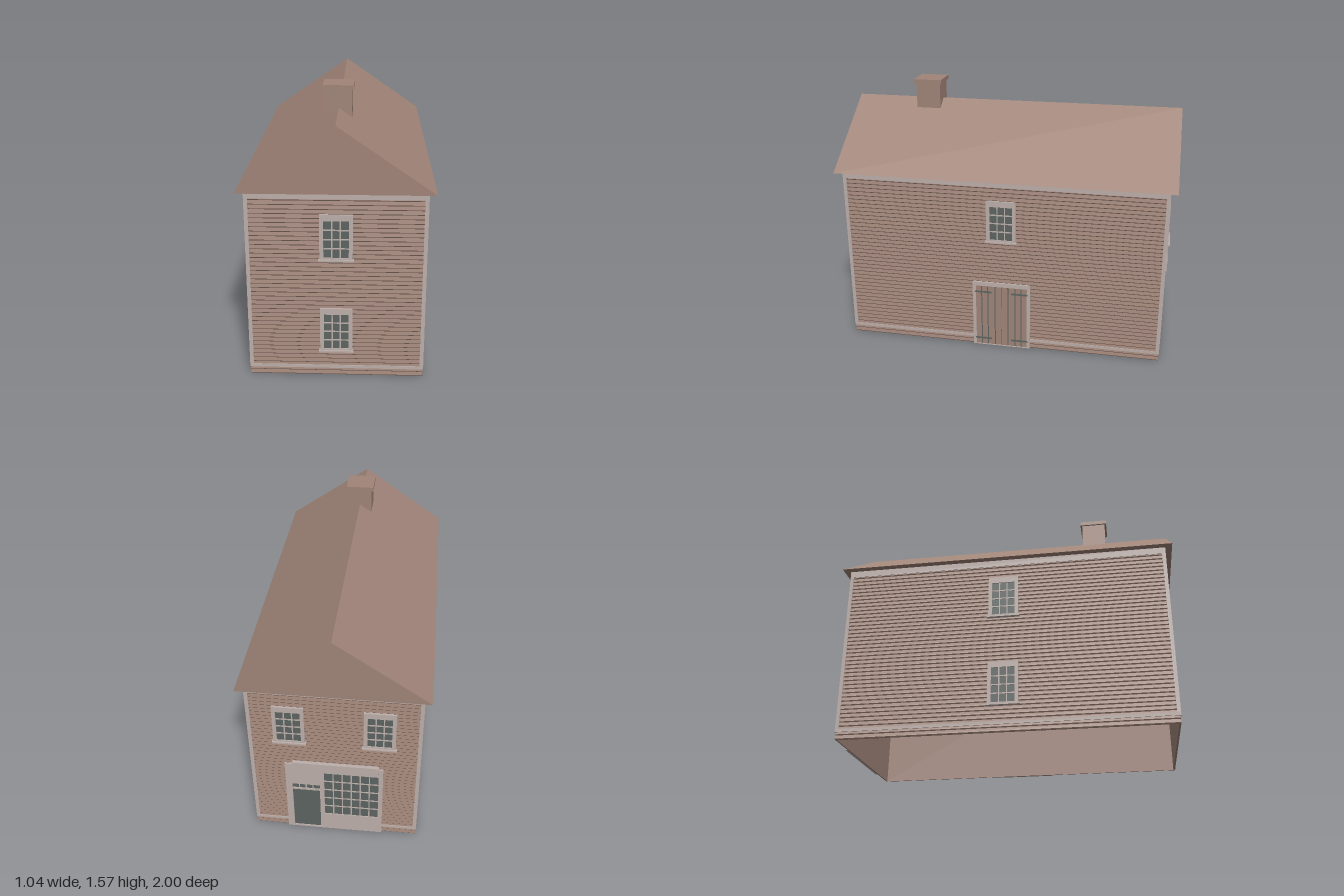
import * as THREE from 'three';

const brown = new THREE.MeshStandardMaterial({ color: 0xa08478, name: 'brown' });
const trim = new THREE.MeshStandardMaterial({ color: 0xbdafaa, name: 'paleTrim' });
const dark = new THREE.MeshStandardMaterial({ color: 0x5c6461, name: 'darkGlass' });

const EAVE = 1.08, HX = 0.474, HZ = 0.954;

function add(parent, name, geometry, material, x = 0, y = 0, z = 0) {
  const mesh = new THREE.Mesh(geometry, material);
  mesh.name = name;
  mesh.position.set(x, y, z);
  parent.add(mesh);
  return mesh;
}

// Box given by its limits
function box(parent, name, material, x0, x1, y0, y1, z0, z1) {
  return add(parent, name, new THREE.BoxGeometry(x1 - x0, y1 - y0, z1 - z0), material,
    (x0 + x1) / 2, (y0 + y1) / 2, (z0 + z1) / 2);
}

function rectPoints(P, x0, x1, y0, y1) {
  return new P().moveTo(x0, y0).lineTo(x1, y0).lineTo(x1, y1).lineTo(x0, y1).closePath();
}

// Rectangular board with rectangular holes, each [x0, x1, y0, y1]
function pierced(parent, name, material, outer, holes, depth) {
  const shape = rectPoints(THREE.Shape, ...outer);
  for (const h of holes) shape.holes.push(rectPoints(THREE.Path, ...h));
  return add(parent, name, new THREE.ExtrudeGeometry(shape, { depth, bevelEnabled: false }), material);
}

// Dark pane divided by glazing bars
function glazing(parent, x0, x1, y0, y1, cols, rows, bar = 0.007) {
  box(parent, 'glass', dark, x0, x1, y0, y1, 0, 0.008);
  for (let i = 1; i < cols; i++) {
    const x = x0 + (x1 - x0) * i / cols;
    box(parent, 'glazingBar', trim, x - bar / 2, x + bar / 2, y0, y1, 0.004, 0.011);
  }
  for (let j = 1; j < rows; j++) {
    const y = y0 + (y1 - y0) * j / rows;
    box(parent, 'glazingBar', trim, x0, x1, y - bar / 2, y + bar / 2, 0.004, 0.011);
  }
}

function sashWindow(wall, x, y) {
  const g = new THREE.Group();
  g.name = 'window';
  g.position.set(x, y, 0);
  pierced(g, 'windowCasing', trim, [-0.088, 0.088, 0, 0.257], [[-0.067, 0.067, 0.014, 0.222]], 0.014);
  glazing(g, -0.067, 0.067, 0.014, 0.222, 3, 4);
  box(g, 'windowSill', trim, -0.095, 0.095, -0.005, 0.005, 0, 0.024);
  wall.add(g);
}

// Horizontal clapboards: rectangular rings lofted from the inner shell round to the outside
function wallGeometry() {
  const rings = [[-0.008, EAVE], [-0.008, 0], [0, 0]];
  const rows = 43, step = EAVE / rows;
  for (let i = 0; i < rows; i++) {
    rings.push([0.004, i * step + 0.006], [0, (i + 1) * step]);
  }
  const signs = [[-1, 1], [1, 1], [1, -1], [-1, -1]];
  const corner = ([o, y], k) => {
    const [sx, sz] = signs[k % 4];
    return [sx * (HX + o), y, sz * (HZ + o)];
  };
  const pos = [];
  for (let i = 0; i + 1 < rings.length; i++) {
    for (let k = 0; k < 4; k++) {
      const a = corner(rings[i], k), b = corner(rings[i], k + 1);
      const c = corner(rings[i + 1], k + 1), d = corner(rings[i + 1], k);
      pos.push(...a, ...b, ...c, ...a, ...c, ...d);
    }
  }
  const g = new THREE.BufferGeometry();
  g.setAttribute('position', new THREE.Float32BufferAttribute(pos, 3));
  g.computeVertexNormals();
  return g;
}

// Double plank door with strap hinges
function plankDoor(wall) {
  const g = new THREE.Group();
  g.name = 'plankDoor';
  pierced(g, 'doorCasing', trim, [-0.177, 0.177, 0, 0.43], [[-0.157, 0.157, 0.004, 0.405]], 0.014);
  for (const s of [-1, 1]) {
    box(g, 'doorLeaf', brown, Math.min(0, s * 0.157), Math.max(0, s * 0.157), 0.004, 0.405, 0, 0.01);
    for (const x of [0.04, 0.084, 0.122]) {
      box(g, 'plankGroove', dark, s * x - 0.003, s * x + 0.003, 0.006, 0.403, 0.006, 0.0108);
    }
    for (const y of [0.045, 0.365]) {
      const a = s * 0.06, b = s * 0.162;
      box(g, 'strapHinge', dark, Math.min(a, b), Math.max(a, b), y - 0.005, y + 0.005, 0.006, 0.015);
    }
  }
  box(g, 'doorMeetingLine', dark, -0.001, 0.001, 0.006, 0.403, 0.006, 0.0105);
  wall.add(g);
}

// Shop front with door, transom, large window and blank fascia board
function shopFront(wall) {
  const g = new THREE.Group();
  g.name = 'shopFront';
  const door = [-0.247, -0.088, 0.012, 0.325];
  const transom = [-0.247, -0.088, 0.338, 0.37];
  const display = [-0.062, 0.25, 0.13, 0.475];
  pierced(g, 'shopFrontPanel', trim, [-0.285, 0.275, 0, 0.53], [door, transom, display], 0.013);
  box(g, 'shopDoor', dark, ...door, 0, 0.008);
  glazing(g, ...transom, 4, 1);
  glazing(g, ...display, 6, 5);
  box(g, 'fasciaBoard', trim, -0.24, 0.25, 0.482, 0.55, 0, 0.021);
  wall.add(g);
}

export function createModel() {
  const model = new THREE.Group();
  model.name = 'house';

  add(model, 'clapboardWalls', wallGeometry(), brown);

  // One frame per wall: local +z points outward
  const makeWall = (name, angle, half, dist) => {
    const w = new THREE.Group();
    w.name = name;
    w.rotation.y = angle;
    w.position.set(Math.sin(angle) * dist, 0, Math.cos(angle) * dist);
    box(w, 'waterTable', trim, -half, half, 0.044, 0.062, 0, 0.0065);
    box(w, 'frieze', trim, -half, half, 1.04, EAVE, 0, 0.0065);
    for (const s of [-1, 1]) {
      const a = s * half, b = s * (half - 0.021);
      box(w, 'cornerBoard', trim, Math.min(a, b), Math.max(a, b), 0.062, 1.04, 0, 0.0065);
    }
    model.add(w);
    return w;
  };
  const front = makeWall('frontWall', 0, 0.4805, HZ);
  const back = makeWall('backWall', Math.PI, 0.4805, HZ);
  const doorSide = makeWall('doorSideWall', Math.PI / 2, 0.9605, HX);
  const plainSide = makeWall('plainSideWall', -Math.PI / 2, 0.9605, HX);

  for (const w of [front, plainSide]) {
    sashWindow(w, 0, 0.7);
    sashWindow(w, 0, 0.157);
  }
  sashWindow(doorSide, 0, 0.7);
  for (const x of [-0.25, 0.25]) sashWindow(back, x, 0.7);
  plankDoor(doorSide);
  shopFront(back);

  // Solid gable roof
  const gable = new THREE.Shape().moveTo(-0.52, EAVE).lineTo(0.52, EAVE).lineTo(0, 1.44).closePath();
  add(model, 'roof', new THREE.ExtrudeGeometry(gable, { depth: 2, bevelEnabled: false }), brown, 0, 0, -1);

  // Chimney astride the ridge
  box(model, 'chimney', brown, -0.074, 0.074, 1.3, 1.54, 0.461, 0.609);
  box(model, 'chimneyCap', brown, -0.085, 0.085, 1.54, 1.565, 0.45, 0.62);

  return model;
}
